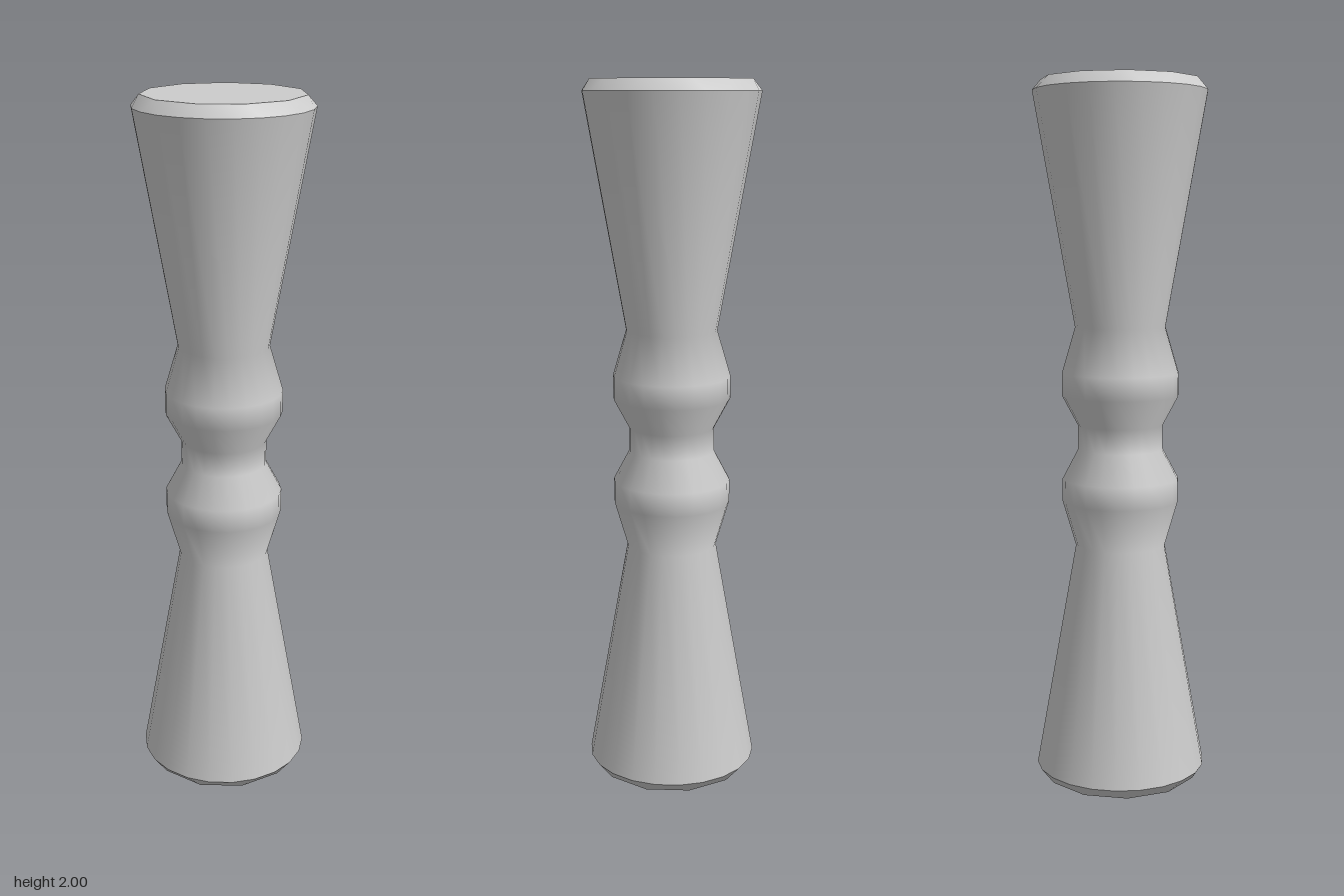
import * as THREE from 'three';

const SIDES = 11;
const STEP = Math.PI / SIDES; // the body has twice as many sides as the end faces
const RIM = 0.245, FACE = 0.222, BEVEL = 0.032;

// Point on a ring, counted in body steps from the back (-z)
const ringPoint = (r, y, k) => [r * Math.sin(Math.PI + k * STEP), y, r * Math.cos(Math.PI + k * STEP)];

// Sloped band joining the 22-sided rim to the 11-sided end face
function bevelGeometry(top) {
  const yRim = top ? 2 - BEVEL : BEVEL, yFace = top ? 2 : 0;
  const pos = [], index = [];
  for (let i = 0; i < SIDES; i++) {
    pos.push(...ringPoint(FACE, yFace, 2 * i));
    pos.push(...ringPoint(RIM, yRim, 2 * i - 0.5), ...ringPoint(RIM, yRim, 2 * i + 0.5));
    const a = 3 * i, n = 3 * ((i + 1) % SIDES);
    const tris = [[a, a + 1, a + 2], [a, a + 2, n + 1], [a, n + 1, n]];
    for (const [p, q, r] of tris) index.push(...(top ? [p, q, r] : [p, r, q]));
  }
  const g = new THREE.BufferGeometry();
  g.setAttribute('position', new THREE.Float32BufferAttribute(pos, 3));
  g.setIndex(index);
  g.computeVertexNormals();
  return g;
}

export function createModel() {
  const model = new THREE.Group();
  model.name = 'turnedSpindle';
  const material = new THREE.MeshStandardMaterial({ color: 0xcccccc });
  const add = (name, geometry) => {
    const mesh = new THREE.Mesh(geometry, material);
    mesh.name = name;
    model.add(mesh);
    return mesh;
  };

  // Body: flared ends, two bulges and a narrow waist, mirrored about y = 1
  const lower = [[RIM, BEVEL], [0.129, 0.685], [0.167, 0.815], [0.167, 0.88], [0.122, 0.965]];
  const upper = lower.map(([r, y]) => [r, 2 - y]).reverse();
  const profile = [...lower, ...upper].map(([r, y]) => new THREE.Vector2(r, y));
  add('body', new THREE.LatheGeometry(profile, 2 * SIDES, Math.PI + STEP / 2));

  // Ends: bevel and flat face
  for (const top of [true, false]) {
    const end = top ? 'top' : 'bottom';
    add(end + 'Bevel', bevelGeometry(top));
    const turn = top ? 1 : -1;
    const face = new THREE.CircleGeometry(FACE, SIDES, turn * Math.PI / 2).rotateX(-turn * Math.PI / 2);
    add(end + 'Face', face).position.y = top ? 2 : 0;
  }
  return model;
}
